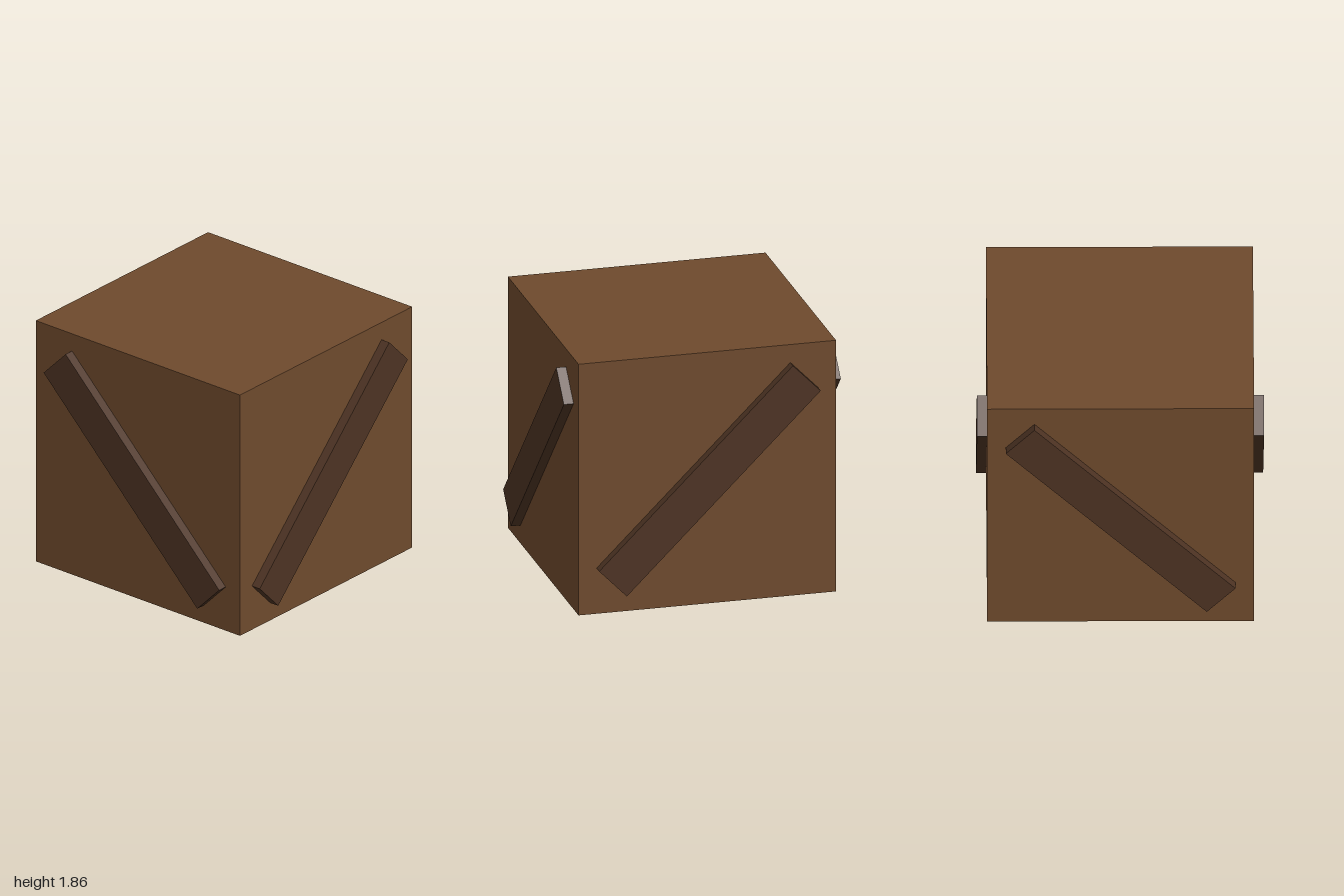
import * as THREE from 'three';

const SIDE = 1.86;      // crate edge length
const REACH = 1;        // distance from the centre to a plank's outer face
const SINK = 0.02;      // how far planks are set into the crate

export function createModel() {
  const group = new THREE.Group();
  const crateWood = new THREE.MeshStandardMaterial({ color: 0x6e4a2d });
  crateWood.name = 'crateWood';
  const plankWood = new THREE.MeshStandardMaterial({ color: 0x4d3323 });
  plankWood.name = 'plankWood';

  // Solid crate body
  const body = new THREE.Mesh(new THREE.BoxGeometry(SIDE, SIDE, SIDE), crateWood);
  body.name = 'crateBody';
  body.position.y = SIDE / 2;
  group.add(body);

  // Diagonal plank outline, in the plane of a crate side
  const outline = new THREE.Shape([
    [-0.8, 0.593], [0.6, -0.797], [0.8, -0.593], [-0.6, 0.797],
  ].map(([x, y]) => new THREE.Vector2(x, y)));
  const start = SIDE / 2 - SINK;
  const plankGeometry = new THREE.ExtrudeGeometry(outline, { depth: REACH - start, bevelEnabled: false });
  plankGeometry.translate(0, 0, start);
  // The opposite plank is parallel, pushed out through the other side
  const oppositeGeometry = plankGeometry.clone().translate(0, 0, -REACH - start);

  // Front/back planks, then the same pair turned for the left/right sides
  const pairs = [
    [0, 'frontPlank', 'backPlank'],
    [-Math.PI / 2, 'rightPlank', 'leftPlank'],
  ];
  for (const [turn, nearName, farName] of pairs) {
    for (const [geometry, name] of [[plankGeometry, nearName], [oppositeGeometry, farName]]) {
      const plank = new THREE.Mesh(geometry, plankWood);
      plank.name = name;
      plank.position.y = SIDE / 2;
      plank.rotation.y = turn;
      group.add(plank);
    }
  }
  return group;
}
